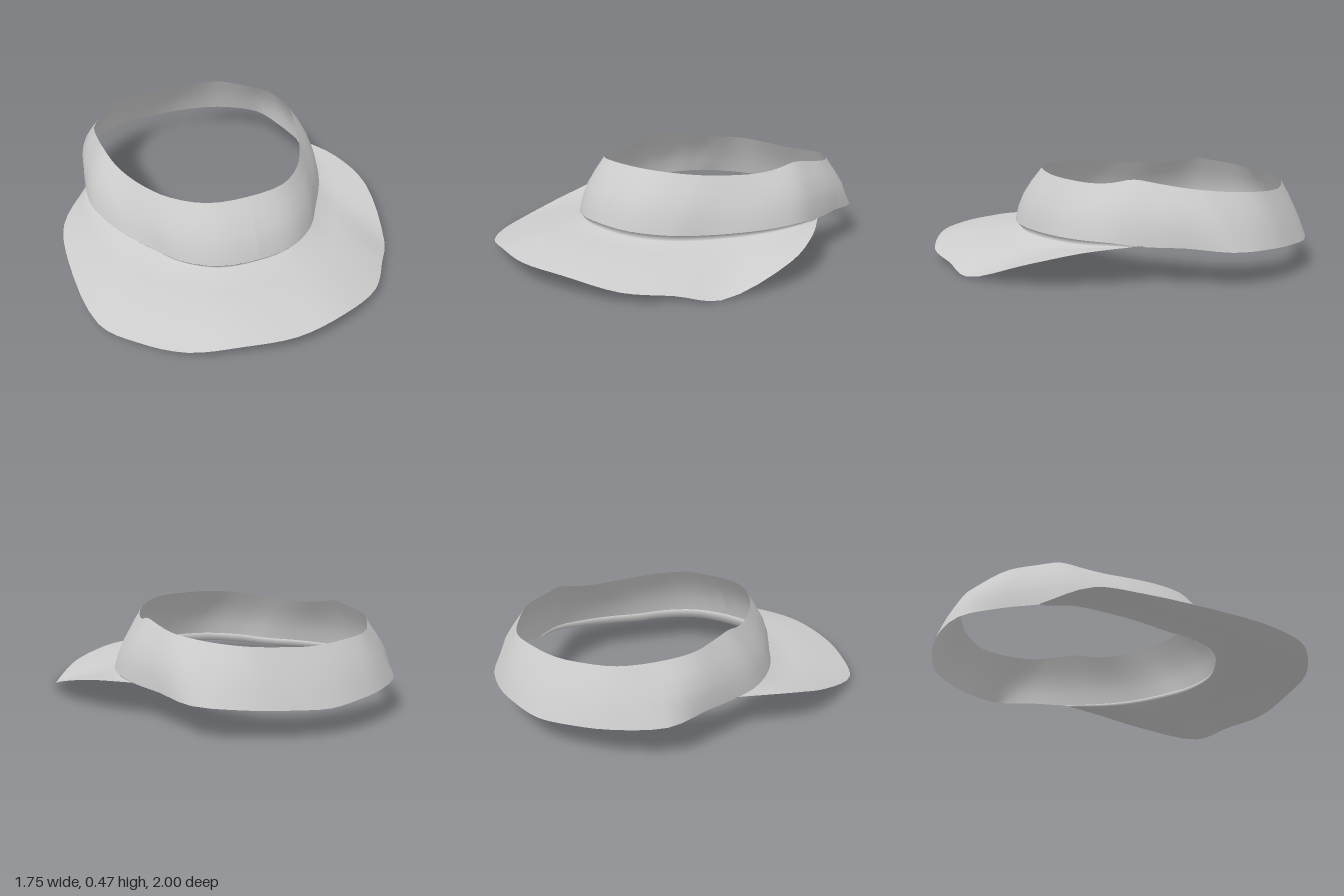
import * as THREE from 'three';

const V = (a) => new THREE.Vector3(...a);
const flip = ([x, y, z]) => [-x, y, z];

// Skin neighbouring rows of points with smooth quads
function loft(rows) {
  const n = rows[0].length, index = [];
  for (let r = 0; r < rows.length - 1; r++)
    for (let i = 0; i < n - 1; i++) {
      const a = r * n + i, b = a + n;
      index.push(a, a + 1, b, a + 1, b + 1, b);
    }
  const g = new THREE.BufferGeometry().setFromPoints(rows.flat());
  g.setIndex(index);
  g.computeVertexNormals();
  return g;
}

// Half outlines of the band, from the front centre round to the back centre
const bandTop = [
  [0, .47, .39], [.2, .467, .36], [.35, .45, .23], [.44, .44, .08], [.5, .438, -.07],
  [.53, .45, -.17], [.55, .472, -.28], [.55, .458, -.4], [.535, .44, -.54],
  [.44, .42, -.69], [.32, .41, -.81], [.18, .4, -.85], [0, .39, -.865],
];
const bandBottom = [
  [0, .19, .55], [.2, .187, .52], [.36, .18, .41], [.46, .175, .27], [.57, .18, .1],
  [.635, .185, -.05], [.67, .19, -.2], [.655, .18, -.36], [.62, .18, -.55],
  [.565, .165, -.76], [.36, .155, -.915], [.18, .145, -.975], [0, .135, -1],
];

// Brim edge, from the right joint round the front to the left joint
const brimEdge = [
  [-.655, .185, -.36], [-.84, .165, -.1], [-.875, .11, .12], [-.83, .025, .52], [-.69, .035, .71],
  [-.5, .055, .87], [-.26, .088, .96], [0, .09, 1], [.26, .088, .955], [.52, .05, .83],
  [.67, .03, .65], [.79, 0, .48], [.87, .11, .11], [.8, .165, -.13], [.655, .185, -.36],
];

function closedRing(half, samples) {
  const mirrored = half.slice(1, -1).reverse().map(flip);
  const curve = new THREE.CatmullRomCurve3([...half, ...mirrored].map(V), true);
  return curve.getPoints(samples);
}

function openRow(points, samples) {
  return new THREE.CatmullRomCurve3(points.map(V)).getPoints(samples);
}

export function createModel() {
  const group = new THREE.Group();
  const fabric = new THREE.MeshStandardMaterial({ color: 0xcccccc, side: THREE.DoubleSide });
  fabric.name = 'light grey';
  const add = (name, geometry) => {
    const mesh = new THREE.Mesh(geometry, fabric);
    mesh.name = name;
    group.add(mesh);
  };

  // Head band: leans inward, with a slight bulge
  const top = closedRing(bandTop, 72), bottom = closedRing(bandBottom, 72);
  const bandRows = [0, .25, .5, .75, 1].map((t) => bottom.map((p, i) => {
    const q = p.clone().lerp(top[i], t);
    const swell = 1 + .04 * Math.sin(Math.PI * t) * (q.z > -.7 ? 1 : .3);
    return q.set(q.x * swell, q.y, (q.z + .2) * swell - .2);
  }));
  add('headBand', loft(bandRows));

  // Brim: tucks under the band, runs out nearly flat, then droops to its edge
  const front = bandBottom.slice(0, 8);
  const inner = openRow([...front.slice(1).reverse().map(flip), ...front], 56);
  const edge = openRow(brimEdge, 56);
  const tuck = inner.map((p, i) => {
    const s = Math.sqrt(Math.sin(Math.PI * i / 56));
    return new THREE.Vector3(p.x * (1 - .04 * s), p.y - .04 * s, p.z - .03 * s);
  });
  const between = (t, lift) => tuck.map((p, i) => {
    const q = p.clone().lerp(edge[i], t);
    q.y += lift * Math.sin(Math.PI * i / 56);
    return q;
  });
  add('brim', loft([edge, between(.7, .015), between(.35, .02), tuck, inner]));

  return group;
}
